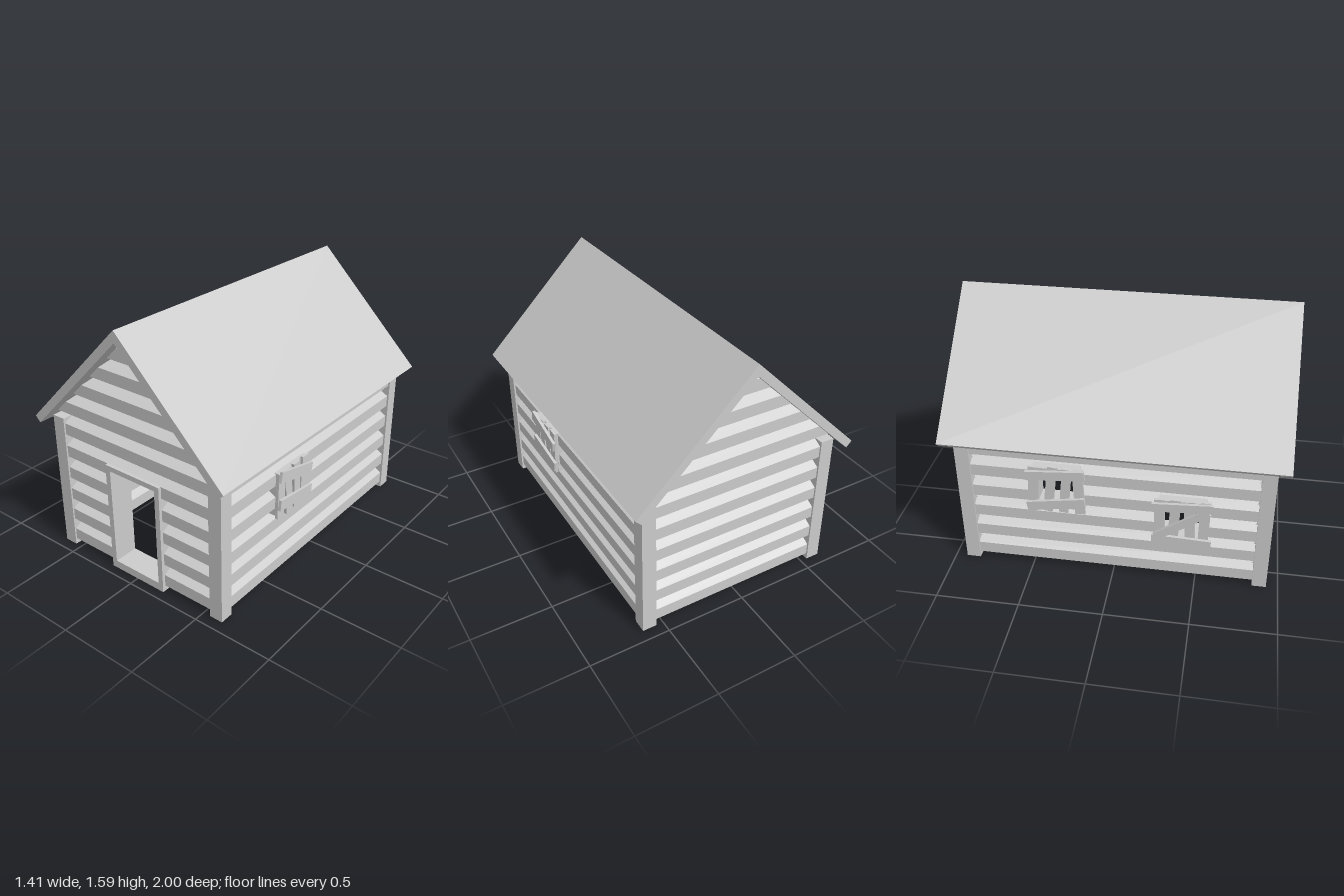
import * as THREE from 'three';

const H = 0.148;      // log height
const HALF = 0.064;   // half log thickness
const EAVE = 1.53;    // gable logs end where |x| = EAVE - y, just inside the roof
const mat = new THREE.MeshStandardMaterial({ color: 0xcccccc, flatShading: true });

function add(parent, name, geo, x = 0, y = 0, z = 0) {
  const mesh = new THREE.Mesh(geo, mat);
  mesh.name = name;
  mesh.position.set(x, y, z);
  parent.add(mesh);
  return mesh;
}

// Hexagonal log along local z from u0 to u1, cut to the heights lo..hi
function logGeometry(base, u0, u1, lo = base, hi = base + H, gable = false) {
  const width = y => HALF * Math.max(0, Math.min(1, 4 * Math.min((y - base) / H, 1 - (y - base) / H)));
  const ys = [lo, ...[base + H / 4, base + H * 0.75].filter(y => y > lo + 1e-4 && y < hi - 1e-4), hi];
  const right = ys.map(y => new THREE.Vector2(width(y), y));
  const left = ys.filter(y => width(y) > 1e-5).reverse().map(y => new THREE.Vector2(-width(y), y));
  const geo = new THREE.ExtrudeGeometry(new THREE.Shape([...right, ...left]), { depth: 1, bevelEnabled: false });
  const p = geo.attributes.position;
  for (let i = 0; i < p.count; i++) {
    const limit = gable ? EAVE - p.getY(i) : Infinity;
    p.setZ(i, p.getZ(i) < 0.5 ? Math.max(u0, -limit) : Math.min(u1, limit));
  }
  geo.computeVertexNormals();
  return geo;
}

// Wall of six logs, interrupted by openings { u0, u1, v0, v1 } sorted along u
function logWall(name, halfLength, openings) {
  const wall = new THREE.Group();
  wall.name = name;
  for (let i = 0; i < 6; i++) {
    const base = i * H, top = base + H;
    let from = -halfLength;
    for (const o of openings) {
      if (o.v1 <= base || o.v0 >= top) continue;
      add(wall, 'wallLog', logGeometry(base, from, o.u0));
      if (o.v0 > base + 0.002) add(wall, 'wallLog', logGeometry(base, o.u0, o.u1, base, o.v0));
      if (o.v1 < top - 0.002) add(wall, 'wallLog', logGeometry(base, o.u0, o.u1, o.v1, top));
      from = o.u1;
    }
    add(wall, 'wallLog', logGeometry(base, from, halfLength));
  }
  return wall;
}

// Rectangular ring, extruded along z
function frameGeometry(x0, x1, y0, y1, hx0, hx1, hy0, hy1, depth) {
  const rect = (C, a, b, c, d) => new C([[a, c], [b, c], [b, d], [a, d]].map(q => new THREE.Vector2(...q)));
  const shape = rect(THREE.Shape, x0, x1, y0, y1);
  shape.holes.push(rect(THREE.Path, hx0, hx1, hy0, hy1));
  return new THREE.ExtrudeGeometry(shape, { depth, bevelEnabled: false });
}

// Boarded window facing local +z: boards are [x, y, width, height, tilt]
function boardedWindow(name, half, uprights, crossBoards) {
  const g = new THREE.Group();
  g.name = name;
  const o = half + 0.02;
  add(g, 'windowFrame', frameGeometry(-o, o, -o, o, -half, half, -half, half, 0.145), 0, 0, -0.14);
  const nail = (list, label, z) => list.forEach(([x, y, w, h, tilt]) => {
    add(g, label, new THREE.BoxGeometry(w, h, 0.018), x, y, z).rotation.z = tilt;
  });
  nail(uprights, 'uprightBoard', 0.014);
  nail(crossBoards, 'crossBoard', 0.033);
  return g;
}

export function createModel() {
  const cabin = new THREE.Group();
  cabin.name = 'logCabin';

  // Window positions: side of the wall, z, y
  const half = 0.12;
  const opening = (z, y) => ({ u0: z - half - 0.01, u1: z + half + 0.01, v0: y - half - 0.01, v1: y + half + 0.01 });

  // Side walls
  const leftWall = logWall('leftWall', 0.87, [opening(0.29, 0.57)]);
  leftWall.position.x = 0.556;
  const rightWall = logWall('rightWall', 0.87, [opening(-0.33, 0.59), opening(0.41, 0.44)]);
  rightWall.position.x = -0.556;

  // Front and back walls with their gables
  const frontWall = logWall('frontWall', 0.58, [{ u0: -0.19, u1: 0.19, v0: 0, v1: 0.69 }]);
  const backWall = logWall('backWall', 0.58, []);
  [[frontWall, 0.856], [backWall, -0.856]].forEach(([wall, z]) => {
    for (let i = 6; i < 11; i++) {
      add(wall, 'gableLog', logGeometry(i * H, -0.63, 0.63, i * H, Math.min((i + 1) * H, 1.525), true));
    }
    wall.rotation.y = Math.PI / 2;
    wall.position.z = z;
  });
  cabin.add(leftWall, rightWall, frontWall, backWall);

  // Corner posts
  for (const x of [-1, 1]) for (const z of [-1, 1]) {
    add(cabin, 'cornerPost', new THREE.BoxGeometry(0.086, 0.885, 0.086), x * 0.588, 0.4425, z * 0.887);
  }

  // Roof: two slopes meeting at the ridge
  const roof = new THREE.Shape([
    [0, 1.585], [-0.705, 0.885], [-0.67, 0.85], [0, 1.515], [0.67, 0.85], [0.705, 0.885],
  ].map(q => new THREE.Vector2(...q)));
  add(cabin, 'roof', new THREE.ExtrudeGeometry(roof, { depth: 2, bevelEnabled: false }), 0, 0, -1);

  // Door frame
  add(cabin, 'doorFrame', frameGeometry(-0.204, 0.204, 0, 0.705, -0.17, 0.17, 0.05, 0.673, 0.155), 0, 0, 0.785);

  // Boarded windows
  const leftWindow = boardedWindow('leftWindow', half,
    [[-0.12, 0, 0.065, 0.29, -0.03], [-0.045, -0.005, 0.06, 0.3, 0.08], [0.035, 0, 0.06, 0.29, 0.05], [0.11, 0, 0.065, 0.3, -0.06]],
    [[0.005, 0.095, 0.315, 0.068, -0.23], [0.005, -0.07, 0.315, 0.066, -0.12]]);
  leftWindow.position.set(0.626, 0.57, 0.29);
  leftWindow.rotation.y = Math.PI / 2;

  const rightRear = boardedWindow('rightRearWindow', half,
    [[-0.135, 0, 0.06, 0.31, -0.05], [-0.035, 0.005, 0.055, 0.32, -0.12], [0.055, 0, 0.055, 0.31, -0.1], [0.135, 0, 0.06, 0.31, 0.04]],
    [[0, 0.115, 0.35, 0.06, 0.08], [0, -0.09, 0.35, 0.06, 0.16]]);
  rightRear.position.set(-0.626, 0.59, -0.33);

  const rightFront = boardedWindow('rightFrontWindow', half,
    [[-0.13, 0, 0.06, 0.31, 0.03], [-0.045, 0, 0.06, 0.32, -0.04], [0.045, 0, 0.06, 0.31, 0.05], [0.13, 0, 0.06, 0.32, -0.03]],
    [[0, 0.12, 0.35, 0.055, 0.06], [0, -0.125, 0.35, 0.055, -0.04], [0, 0, 0.37, 0.05, 0.6]]);
  rightFront.position.set(-0.626, 0.44, 0.41);
  for (const w of [rightRear, rightFront]) w.rotation.y = -Math.PI / 2;
  cabin.add(leftWindow, rightRear, rightFront);

  return cabin;
}
